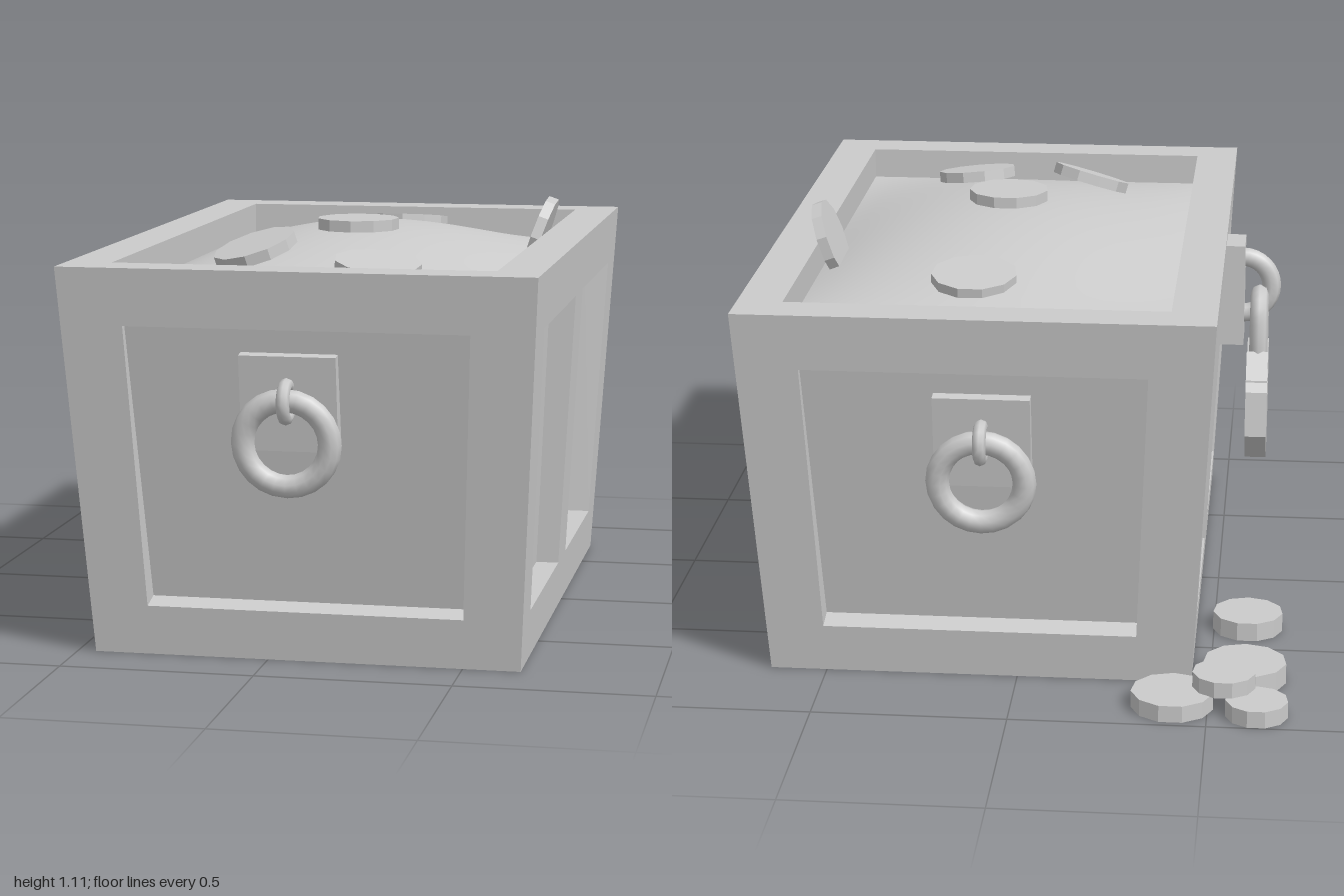
import * as THREE from 'three';

const H = 1.01, TOP = [0.603, 0.93], BOT = [0.55, 0.78];
const grey = new THREE.MeshStandardMaterial({ color: 0xcccccc });
const flat = new THREE.MeshStandardMaterial({ color: 0xcccccc, flatShading: true });

function add(parent, name, geometry, material = flat) {
  const mesh = new THREE.Mesh(geometry, material);
  mesh.name = name;
  parent.add(mesh);
  return mesh;
}

// A face in the xy plane facing +z, with sunken panels.
// Each panel: corners (counter-clockwise), depth at bottom/top, lift of inner lower edge.
function panelledFace(outline, panels, zOf) {
  const pos = [];
  const tri = (...pts) => pts.forEach((p) => pos.push(...p));
  const quad = (a, b, c, d) => tri(a, b, c, a, c, d);
  const contour = outline.map((p) => new THREE.Vector2(...p));
  const holes = panels.map((q) => q.corners.map((p) => new THREE.Vector2(...p)));
  const all = [contour, ...holes].flat().map((v) => [v.x, v.y, zOf(v.y)]);
  THREE.ShapeUtils.triangulateShape(contour, holes).forEach((f) => tri(...f.map((i) => all[i])));
  for (const { corners, depth, lift = 0 } of panels) {
    const outer = corners.map(([x, y]) => [x, y, zOf(y)]);
    const inner = outer.map(([x, y, z], i) => [x, i < 2 ? y + lift : y, z - depth[i < 2 ? 0 : 1]]);
    for (let i = 0; i < 4; i++) {
      const j = (i + 1) % 4;
      quad(outer[i], outer[j], inner[j], inner[i]);
    }
    quad(...inner);
  }
  const g = new THREE.BufferGeometry();
  g.setAttribute('position', new THREE.Float32BufferAttribute(pos, 3));
  g.computeVertexNormals();
  return g;
}

const rect = (w, d) => [[-w, -d], [w, -d], [w, d], [-w, d]];

// Tapered chest with panelled walls and a sunken top
function addChest(parent) {
  for (let k = 0; k < 4; k++) {
    const side = k % 2;
    const [b, t] = [BOT[side], TOP[side]];
    const [nb, nt] = [BOT[1 - side], TOP[1 - side]];
    const panels = side
      ? [
        { corners: [[0.08, 0.13], [0.655, 0.13], [0.738, 0.863], [0.08, 0.863]], depth: [0.06, 0.07] },
        { corners: [[-0.655, 0.13], [-0.08, 0.13], [-0.08, 0.863], [-0.738, 0.863]], depth: [0.06, 0.07] },
      ]
      : [{ corners: [[-0.407, 0.13], [0.407, 0.13], [0.436, 0.863], [-0.436, 0.863]], depth: [0.06, 0.02], lift: 0.014 }];
    const g = panelledFace([[-b, 0], [b, 0], [t, H], [-t, H]], panels, (y) => nb + (nt - nb) * y / H);
    add(parent, side ? 'sideWall' : 'endWall', g.rotateY(k * Math.PI / 2));
  }
  const rim = panelledFace(rect(...TOP), [{ corners: rect(0.487, 0.813), depth: [0.1, 0.1] }], () => 0);
  add(parent, 'rim', rim.rotateX(-Math.PI / 2).translate(0, H, 0));
  add(parent, 'base', panelledFace(rect(...BOT), [], () => 0).rotateX(Math.PI / 2));

  // Heaped treasure surface
  const mound = new THREE.PlaneGeometry(0.974, 1.626, 16, 20).rotateX(-Math.PI / 2);
  const p = mound.attributes.position;
  for (let i = 0; i < p.count; i++) {
    const u = p.getX(i) / 0.487, v = p.getZ(i) / 0.813;
    p.setY(i, 0.925 + 0.115 * (1 - u * u) * (1 - v * v));
  }
  mound.computeVertexNormals();
  add(parent, 'treasureMound', mound, grey);
}

// Plate, staple and hanging ring on an end wall
function addRingHandle(parent, turn) {
  const handle = new THREE.Group();
  handle.name = 'ringHandle';
  const tilt = Math.atan((TOP[1] - BOT[1]) / H);
  const plate = add(handle, 'handlePlate', new THREE.BoxGeometry(0.245, 0.245, 0.05));
  plate.position.set(-0.02, 0.68, 0.862);
  plate.rotation.x = tilt;
  const ring = add(handle, 'handleRing', new THREE.TorusGeometry(0.11, 0.03, 10, 24), grey);
  ring.position.set(-0.02, 0.582, 0.912);
  ring.rotation.x = 0.1;
  const staple = add(handle, 'handleStaple', new THREE.TorusGeometry(0.042, 0.017, 8, 16), grey);
  staple.position.set(-0.02, 0.687, 0.912);
  staple.rotation.y = Math.PI / 2;
  handle.rotation.y = turn;
  if (turn) handle.scale.x = -1;
  parent.add(handle);
}

// Hasp and padlock on the right-hand wall
function addLock(parent) {
  const lock = new THREE.Group();
  lock.name = 'lock';
  add(lock, 'haspPlate', new THREE.BoxGeometry(0.09, 0.28, 0.125)).position.set(-0.51, 0.835, 0.048);
  const loop = add(lock, 'haspLoop', new THREE.TorusGeometry(0.08, 0.026, 8, 16, Math.PI), grey);
  loop.position.set(-0.548, 0.85, 0.045);
  loop.rotation.z = Math.PI / 2;

  // Eight-sided body with a notch in its upper rear edge
  const shape = new THREE.Shape();
  for (let i = 0; i < 8; i++) {
    const a = Math.PI * (0.5 - i / 4) - Math.PI / 8;
    shape.lineTo(0.165 * Math.cos(a), 0.165 * Math.sin(a));
    if (i === 5) {
      shape.lineTo(-0.13, 0.09);
      shape.lineTo(-0.085, 0.07);
      shape.lineTo(-0.05, 0.1);
    }
  }
  const body = new THREE.ExtrudeGeometry(shape, { depth: 0.058, bevelEnabled: false });
  body.rotateY(-Math.PI / 2).translate(-0.566, 0.54, 0);
  add(lock, 'padlockBody', body);

  const path = new THREE.CatmullRomCurve3(
    [[0.08, 0.62], [0.085, 0.75], [0.055, 0.82], [0.02, 0.83], [-0.02, 0.8], [-0.04, 0.73], [-0.045, 0.62]]
      .map(([z, y]) => new THREE.Vector3(-0.597, y, z)));
  add(lock, 'shackle', new THREE.TubeGeometry(path, 24, 0.025, 8), grey);
  parent.add(lock);
}

// Faceted coin: centre, radius, thickness, tilt
function addCoin(parent, name, [x, y, z], r, h, rx = 0, rz = 0) {
  const coin = add(parent, name, new THREE.CylinderGeometry(r, r, h, 11));
  coin.position.set(x, y, z);
  coin.rotation.set(rx, 0, rz);
}

export function createModel() {
  const model = new THREE.Group();
  model.name = 'treasureChest';
  const chest = new THREE.Group();
  chest.name = 'chest';
  chest.position.set(0.097, 0, 0.05);
  model.add(chest);
  addChest(chest);
  addRingHandle(chest, 0);
  addRingHandle(chest, Math.PI);
  addLock(model);

  // Coins on the heap
  addCoin(model, 'heapCoin', [0.11, 1.054, 0.195], 0.11, 0.03);
  addCoin(model, 'heapCoin', [-0.095, 1.018, 0.54], 0.11, 0.03, 0.22, 0.27);
  addCoin(model, 'heapCoin', [0.25, 0.992, 0.665], 0.112, 0.03, 0.14, -0.1);
  addCoin(model, 'heapCoin', [0.135, 0.998, -0.46], 0.112, 0.03, -0.14, 0);
  addCoin(model, 'heapCoin', [0.562, 1.0, -0.125], 0.108, 0.028, 0, Math.PI / 2 - 0.34);

  // Coins spilled on the floor
  addCoin(model, 'floorCoin', [-0.625, 0.022, -0.92], 0.08, 0.044);
  addCoin(model, 'floorCoin', [-0.41, 0.022, -0.88], 0.106, 0.044);
  addCoin(model, 'floorCoin', [-0.59, 0.027, -0.7], 0.108, 0.054);
  addCoin(model, 'floorCoin', [-0.59, 0.025, -0.355], 0.094, 0.05);
  addCoin(model, 'floorCoin', [-0.54, 0.064, -0.843], 0.081, 0.042);
  return model;
}
